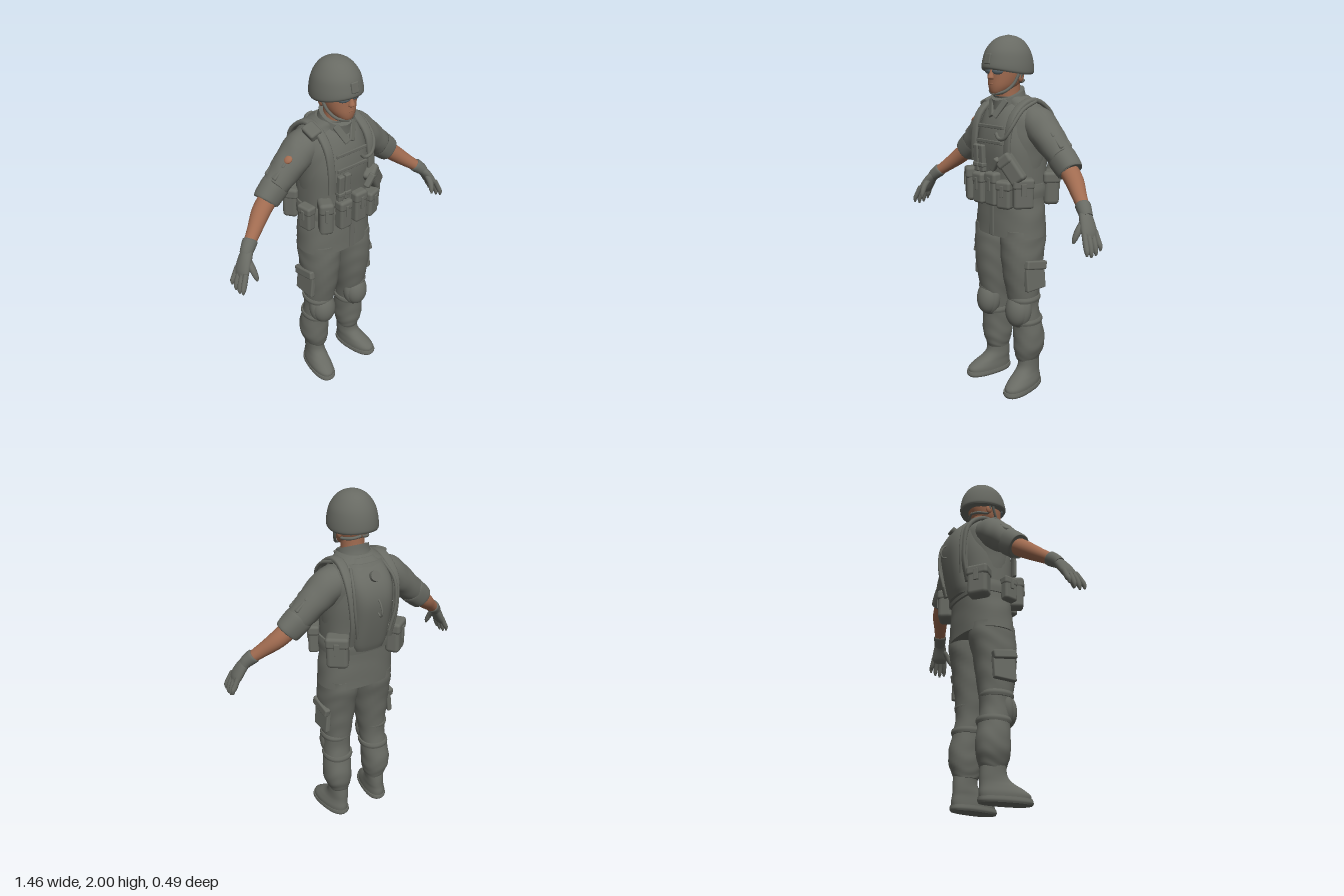
import * as THREE from 'three';
import { RoundedBoxGeometry } from 'three/addons/geometries/RoundedBoxGeometry.js';

const mat = (name, color) => Object.assign(new THREE.MeshStandardMaterial({ color }), { name });
const V = (p) => new THREE.Vector3(...p);

// Smooth skin over elliptical sections [x, y, z, ru, rv, tilt], always running start to end.
// frame: 'flat' keeps rings level, 'x' keeps ru along x, 'limb' follows the path.
function loft(rows, { frame = 'flat', n = 28, sub = 4, e = 2, fold = 0 } = {}) {
  const path = new THREE.CatmullRomCurve3(rows.map((r) => V(r)), false, 'catmullrom');
  const size = new THREE.CatmullRomCurve3(rows.map((r) => V([r[3], r[4], r[5] || 0])), false, 'catmullrom');
  const steps = (rows.length - 1) * sub, pos = [], idx = [];
  const pw = (c) => Math.sign(c) * Math.abs(c) ** (2 / e);
  for (let i = 0; i <= steps; i++) {
    const c = path.getPoint(i / steps), s = size.getPoint(i / steps);
    const t = frame === 'flat' ? V([0, 1, 0]) : path.getTangent(i / steps);
    const u = frame === 'limb' ? t.clone().cross(V([0, 0, 1])).normalize() : V([1, 0, 0]);
    const v = u.clone().cross(t).normalize();
    for (let j = 0; j < n; j++) {
      const a = (j / n) * Math.PI * 2;
      const k = 1 + fold * Math.sin(i * 1.3 + 3 * Math.sin(a * 2 + 1));
      const p = c.clone().addScaledVector(u, pw(Math.cos(a)) * s.x * k).addScaledVector(v, pw(Math.sin(a)) * s.y * k);
      pos.push(p.x, p.y + s.z * Math.sin(a), p.z);
    }
  }
  for (let i = 0; i < steps; i++) for (let j = 0; j < n; j++) {
    const a = i * n + j, b = i * n + (j + 1) % n;
    idx.push(a, a + n, b, b, a + n, b + n);
  }
  // end caps with their own rings, so the rims stay crisp
  for (const end of [0, 1]) {
    const from = end * steps * n, base = pos.length / 3, mid = [0, 0, 0];
    for (let k = 0; k < n * 3; k++) {
      pos.push(pos[from * 3 + k]);
      mid[k % 3] += pos[from * 3 + k] / n;
    }
    pos.push(...mid);
    for (let j = 0; j < n; j++) {
      const a = base + j, b = base + (j + 1) % n;
      end ? idx.push(a, base + n, b) : idx.push(a, b, base + n);
    }
  }
  const g = new THREE.BufferGeometry();
  g.setAttribute('position', new THREE.Float32BufferAttribute(pos, 3));
  g.setIndex(idx);
  g.computeVertexNormals();
  return g;
}

const place = (g, p, r = [0, 0, 0], s = [1, 1, 1]) => g.applyMatrix4(new THREE.Matrix4().compose(
  V(p), new THREE.Quaternion().setFromEuler(new THREE.Euler(...r)), V(s)));
const box = (w, h, d, p, r) => place(new RoundedBoxGeometry(w, h, d, 2, Math.min(w, h, d) * 0.28), p, r);
const ball = (p, s, r) => place(new THREE.SphereGeometry(1, 24, 16), p, r, s);
const cord = (pts, rad) => new THREE.TubeGeometry(new THREE.CatmullRomCurve3(pts.map(V)), 28, rad, 8);

// Reflects a geometry across x = 0 and restores its winding
function mirrored(g) {
  const m = g.clone().scale(-1, 1, 1);
  const ix = m.index ? [...m.index.array] : [...Array(m.attributes.position.count).keys()];
  for (let i = 0; i < ix.length; i += 3) [ix[i], ix[i + 1]] = [ix[i + 1], ix[i]];
  m.setIndex(ix);
  return m;
}

export function createModel() {
  const root = new THREE.Group();
  root.name = 'soldier';
  const cloth = mat('fieldGrey', 0x686a63), skin = mat('skin', 0xa06b50), glass = mat('lensGrey', 0x5f6c72);
  const add = (name, g, m = cloth) => {
    const mesh = new THREE.Mesh(g, m);
    mesh.name = name;
    root.add(mesh);
  };
  const pair = (name, g, m) => {
    add(name + 'Left', g, m);
    add(name + 'Right', mirrored(g), m);
  };

  // Head and neck
  add('neck', loft([[0, 1.6, 0.03, 0.07, 0.07], [0, 1.7, 0.04, 0.062, 0.068], [0, 1.8, 0.045, 0.065, 0.07]]), skin);
  add('head', loft([[0, 1.695, 0.115, 0.025, 0.03], [0, 1.71, 0.102, 0.045, 0.052], [0, 1.74, 0.075, 0.068, 0.084],
    [0, 1.78, 0.06, 0.081, 0.098], [0, 1.83, 0.05, 0.088, 0.107], [0, 1.88, 0.05, 0.088, 0.108], [0, 1.94, 0.05, 0.05, 0.06]], { e: 2.2 }), skin);
  add('nose', loft([[0, 1.776, 0.156, 0.015, 0.014], [0, 1.785, 0.16, 0.018, 0.02], [0, 1.81, 0.156, 0.01, 0.012], [0, 1.835, 0.15, 0.008, 0.008]], { n: 12 }), skin);
  add('lips', ball([0, 1.75, 0.148], [0.026, 0.009, 0.012]), skin);
  pair('ear', ball([0.087, 1.79, 0.03], [0.012, 0.03, 0.02]), skin);
  pair('lens', ball([0.038, 1.82, 0.148], [0.034, 0.019, 0.012], [0, 0.3, 0]), glass);
  pair('glassesArm', cord([[0.068, 1.825, 0.138], [0.09, 1.825, 0.09], [0.093, 1.815, 0.03]], 0.006));

  // Helmet, its sides dipping below the brow
  const helmet = loft([[0, 1.816, 0.042, 0.127, 0.14, 0.012], [0, 1.83, 0.042, 0.133, 0.146, 0.01], [0, 1.87, 0.042, 0.129, 0.141],
    [0, 1.92, 0.042, 0.114, 0.125], [0, 1.965, 0.04, 0.083, 0.092], [0, 1.99, 0.038, 0.046, 0.05], [0, 2, 0.036, 0.004, 0.004]], { n: 40 });
  const hp = helmet.attributes.position;
  for (let i = 0; i < hp.count; i++) {
    const low = Math.max(0, (1.9 - hp.getY(i)) / 0.09);
    hp.setY(i, hp.getY(i) - 0.016 * low * (hp.getX(i) / 0.13) ** 2);
  }
  helmet.computeVertexNormals();
  add('helmet', helmet);
  add('helmetMount', box(0.045, 0.055, 0.022, [0, 1.88, 0.177], [-0.2, 0, 0]));
  pair('chinStrap', cord([[0.1, 1.81, 0.05], [0.085, 1.75, 0.08], [0.055, 1.712, 0.12], [0, 1.698, 0.147]], 0.008));
  pair('napeStrap', cord([[0.1, 1.82, 0.03], [0.083, 1.765, 0.03], [0.05, 1.765, -0.025], [0, 1.775, -0.045]], 0.008));

  // Jacket, collar and body armour
  add('jacket', loft([[0, 0.93, 0.025, 0.228, 0.15], [0, 1.05, 0.022, 0.22, 0.145], [0, 1.15, 0.02, 0.206, 0.142],
    [0, 1.28, 0.015, 0.196, 0.14], [0, 1.4, 0.01, 0.2, 0.15], [0, 1.5, 0, 0.203, 0.15], [0, 1.58, -0.01, 0.196, 0.138],
    [0, 1.64, -0.01, 0.155, 0.11], [0, 1.685, 0.02, 0.09, 0.088]], { e: 2.3, n: 40, fold: 0.006 }));
  add('collar', loft([[0, 1.63, 0.03, 0.105, 0.1, -0.03], [0, 1.67, 0.038, 0.092, 0.092, -0.03], [0, 1.7, 0.042, 0.084, 0.09, -0.035]]));
  pair('lapel', box(0.035, 0.11, 0.014, [0.036, 1.625, 0.13], [-0.35, 0.25, -0.45]));
  add('placket', box(0.03, 0.2, 0.012, [0.01, 1.03, 0.172]));
  add('vest', loft([[0, 1.2, 0.015, 0.2, 0.155], [0, 1.3, 0.015, 0.197, 0.16], [0, 1.42, 0.01, 0.19, 0.172],
    [0, 1.52, 0, 0.17, 0.168], [0, 1.6, -0.01, 0.15, 0.148], [0, 1.655, -0.01, 0.115, 0.11]], { e: 2.6, n: 40 }));
  add('backPack', loft([[0, 1.17, -0.1, 0.09, 0.055], [0, 1.22, -0.1, 0.105, 0.072], [0, 1.35, -0.1, 0.115, 0.102],
    [0, 1.47, -0.1, 0.125, 0.117], [0, 1.56, -0.095, 0.125, 0.1], [0, 1.63, -0.07, 0.105, 0.072], [0, 1.675, -0.05, 0.06, 0.035]], { e: 3, n: 32 }));
  add('packCap', place(new THREE.CylinderGeometry(0.028, 0.03, 0.03, 20), [0, 1.6, -0.172], [-1.05, 0, 0]));
  add('packLoop', cord([[0, 1.49, -0.21], [0, 1.465, -0.235], [0, 1.42, -0.248], [0, 1.4, -0.235], [0, 1.41, -0.21]], 0.005));
  pair('shoulderStrap', loft([[0.135, 1.33, 0.17, 0.022, 0.01], [0.135, 1.46, 0.168, 0.022, 0.01], [0.135, 1.58, 0.135, 0.024, 0.013],
    [0.13, 1.655, 0.04, 0.026, 0.014], [0.13, 1.655, -0.06, 0.026, 0.014], [0.14, 1.56, -0.155, 0.022, 0.012], [0.13, 1.38, -0.175, 0.018, 0.01],
    [0.12, 1.22, -0.14, 0.016, 0.01]], { frame: 'x', n: 16, e: 3 }));
  pair('packTube', cord([[0.1, 1.64, -0.1], [0.125, 1.56, -0.17], [0.125, 1.42, -0.19], [0.1, 1.27, -0.17]], 0.009));
  add('drinkHose', cord([[0.15, 1.66, -0.02], [0.165, 1.62, 0.09], [0.16, 1.54, 0.16], [0.125, 1.48, 0.18], [0.08, 1.475, 0.18], [0.055, 1.5, 0.176]], 0.01));
  add('shoulderPad', box(0.07, 0.045, 0.09, [-0.155, 1.645, 0.04], [0.3, 0, 0.4]));
  for (const y of [1.45, 1.53]) add('chestWebbing', box(0.2, 0.018, 0.012, [0, y, y > 1.5 ? 0.168 : 0.178]));

  // Belt and pouches: x, y, z, width, height, depth, turn
  add('belt', loft([[0, 1.15, 0.02, 0.214, 0.156], [0, 1.19, 0.02, 0.216, 0.16], [0, 1.225, 0.02, 0.21, 0.158]], { e: 2.4, n: 40 }));
  const pouches = [[-0.065, 1.19, 0.186, 0.08, 0.17, 0.06, 0], [0.04, 1.2, 0.188, 0.08, 0.18, 0.055, 0], [0.13, 1.18, 0.18, 0.085, 0.15, 0.065, 0.3],
    [-0.165, 1.195, 0.157, 0.075, 0.19, 0.085, -0.5], [-0.222, 1.175, 0.07, 0.085, 0.14, 0.055, -1.45], [0.205, 1.19, 0.12, 0.11, 0.16, 0.06, 1.0],
    [0.185, 1.19, -0.105, 0.12, 0.18, 0.085, 2.5], [-0.185, 1.19, -0.105, 0.12, 0.18, 0.085, -2.5]];
  for (const [x, y, z, w, h, d, turn] of pouches) {
    add('pouch', box(w, h, d, [x, y, z], [0, turn, 0]));
    add('pouchFlap', box(w * 1.07, h * 0.36, d * 1.12, [x, y + h * 0.34, z], [0, turn, 0]));
    add('pouchTab', box(w * 0.25, h * 0.4, 0.01, [x + Math.sin(turn) * d * 0.56, y + h * 0.16, z + Math.cos(turn) * d * 0.56], [0, turn, 0]));
  }
  for (const x of [-0.09, -0.047]) {
    add('magazine', box(0.037, 0.15, 0.03, [x, 1.355, 0.187], [0.05, 0, 0]));
    add('magazineBand', box(0.042, 0.025, 0.036, [x, 1.32, 0.188]));
  }
  add('chestHolster', box(0.09, 0.16, 0.06, [0.165, 1.32, 0.162], [0, 0.4, 0.65]));
  add('holsterFlap', box(0.095, 0.06, 0.065, [0.13, 1.365, 0.18], [0, 0.4, 0.65]));
  add('pistolGrip', box(0.03, 0.08, 0.035, [0.09, 1.345, 0.215], [0.2, 0.2, -0.6]));

  // Arms
  pair('sleeve', loft([[0.1, 1.575, -0.015, 0.075, 0.085], [0.18, 1.54, -0.015, 0.092, 0.094], [0.255, 1.482, -0.012, 0.084, 0.09],
    [0.33, 1.415, -0.01, 0.075, 0.076], [0.4, 1.347, -0.005, 0.066, 0.06]], { frame: 'limb', fold: 0.018 }));
  pair('rolledCuff', loft([[0.353, 1.392, -0.008, 0.066, 0.062], [0.36, 1.386, -0.008, 0.074, 0.07], [0.42, 1.334, -0.004, 0.07, 0.064],
    [0.43, 1.325, -0.003, 0.062, 0.056]], { frame: 'limb', e: 2.3 }));
  pair('sleevePocket', box(0.1, 0.03, 0.09, [0.348, 1.473, -0.01], [0, 0, -0.72]));
  pair('pocketFlap', box(0.035, 0.035, 0.095, [0.32, 1.5, -0.01], [0, 0, -0.72]));
  add('tornPatch', ball([-0.3, 1.532, 0.03], [0.024, 0.012, 0.022], [0.3, 0, 0.7]), skin);
  pair('forearm', loft([[0.39, 1.355, -0.005, 0.05, 0.05], [0.47, 1.29, 0.015, 0.047, 0.05], [0.545, 1.228, 0.055, 0.037, 0.038],
    [0.62, 1.17, 0.095, 0.028, 0.029]], { frame: 'limb' }), skin);

  // Gloves
  pair('gloveCuff', loft([[0.585, 1.2, 0.076, 0.034, 0.034], [0.592, 1.193, 0.08, 0.039, 0.039], [0.62, 1.168, 0.095, 0.035, 0.036],
    [0.636, 1.15, 0.102, 0.03, 0.034]], { frame: 'limb', n: 20 }));
  pair('palm', loft([[0.615, 1.17, 0.095, 0.025, 0.03], [0.645, 1.135, 0.11, 0.027, 0.042], [0.675, 1.085, 0.123, 0.025, 0.05],
    [0.69, 1.055, 0.128, 0.017, 0.046]], { frame: 'limb', n: 20 }));
  for (let i = 0; i < 4; i++) {
    const z = 0.088 + i * 0.026, drop = [0.02, 0.004, 0, 0.012][i];
    pair('finger', loft([[0.682, 1.085, z, 0.014, 0.014], [0.705, 1.035, z + 0.004 * i, 0.015, 0.014],
      [0.717, 0.995 + drop, z + 0.006 * i, 0.013, 0.012], [0.72, 0.972 + drop, z + 0.006 * i, 0.005, 0.005]], { frame: 'limb', n: 12 }));
  }
  pair('thumb', loft([[0.645, 1.135, 0.125, 0.02, 0.018], [0.642, 1.095, 0.162, 0.018, 0.017], [0.637, 1.055, 0.182, 0.014, 0.014],
    [0.634, 1.03, 0.19, 0.005, 0.005]], { frame: 'limb', n: 12 }));

  // Trousers
  pair('trouserLeg', loft([[0.13, 0.17, 0.01, 0.056, 0.068], [0.132, 0.2, 0.01, 0.066, 0.078], [0.137, 0.25, 0.008, 0.08, 0.09],
    [0.138, 0.32, 0.008, 0.083, 0.092], [0.132, 0.41, 0.018, 0.08, 0.083], [0.125, 0.5, 0.032, 0.077, 0.083], [0.12, 0.6, 0.04, 0.087, 0.097],
    [0.117, 0.7, 0.042, 0.098, 0.112], [0.115, 0.8, 0.04, 0.107, 0.123], [0.11, 0.89, 0.03, 0.11, 0.135], [0.11, 0.97, 0.025, 0.106, 0.133]], { e: 2.2, fold: 0.014 }));
  pair('cargoPocket', box(0.03, 0.16, 0.14, [0.21, 0.71, 0.035], [0, 0, 0.1]));
  pair('cargoFlap', box(0.036, 0.05, 0.15, [0.218, 0.775, 0.035], [-0.2, 0, 0.1]));
  pair('kneePad', ball([0.128, 0.495, 0.088], [0.074, 0.1, 0.066], [-0.12, 0.1, 0]));
  pair('kneePadRim', ball([0.128, 0.5, 0.075], [0.082, 0.115, 0.055], [-0.1, 0.1, 0]));
  for (const [y, z] of [[0.425, 0.02], [0.565, 0.038]]) {
    pair('kneeStrap', loft([[0.128, y - 0.016, z, 0.084, 0.09], [0.128, y, z, 0.088, 0.094], [0.127, y + 0.016, z, 0.085, 0.091]], { e: 2.2 }));
  }

  // Boots, turned slightly outward
  const boot = (rows, e) => place(loft(rows, { e }), [0.135, 0, 0], [0, 0.16, 0]);
  pair('boot', boot([[0.006, 0.02, 0.07, 0.064, 0.14], [0.006, 0.05, 0.068, 0.064, 0.14], [0.003, 0.08, 0.048, 0.058, 0.116],
    [0, 0.105, 0.024, 0.054, 0.091], [0, 0.14, 0.008, 0.052, 0.074], [0, 0.2, 0.008, 0.054, 0.068]], 2.2));
  pair('sole', boot([[0.006, 0, 0.072, 0.064, 0.143], [0.006, 0.012, 0.072, 0.069, 0.149], [0.006, 0.03, 0.071, 0.067, 0.146]], 2.4));
  return root;
}
